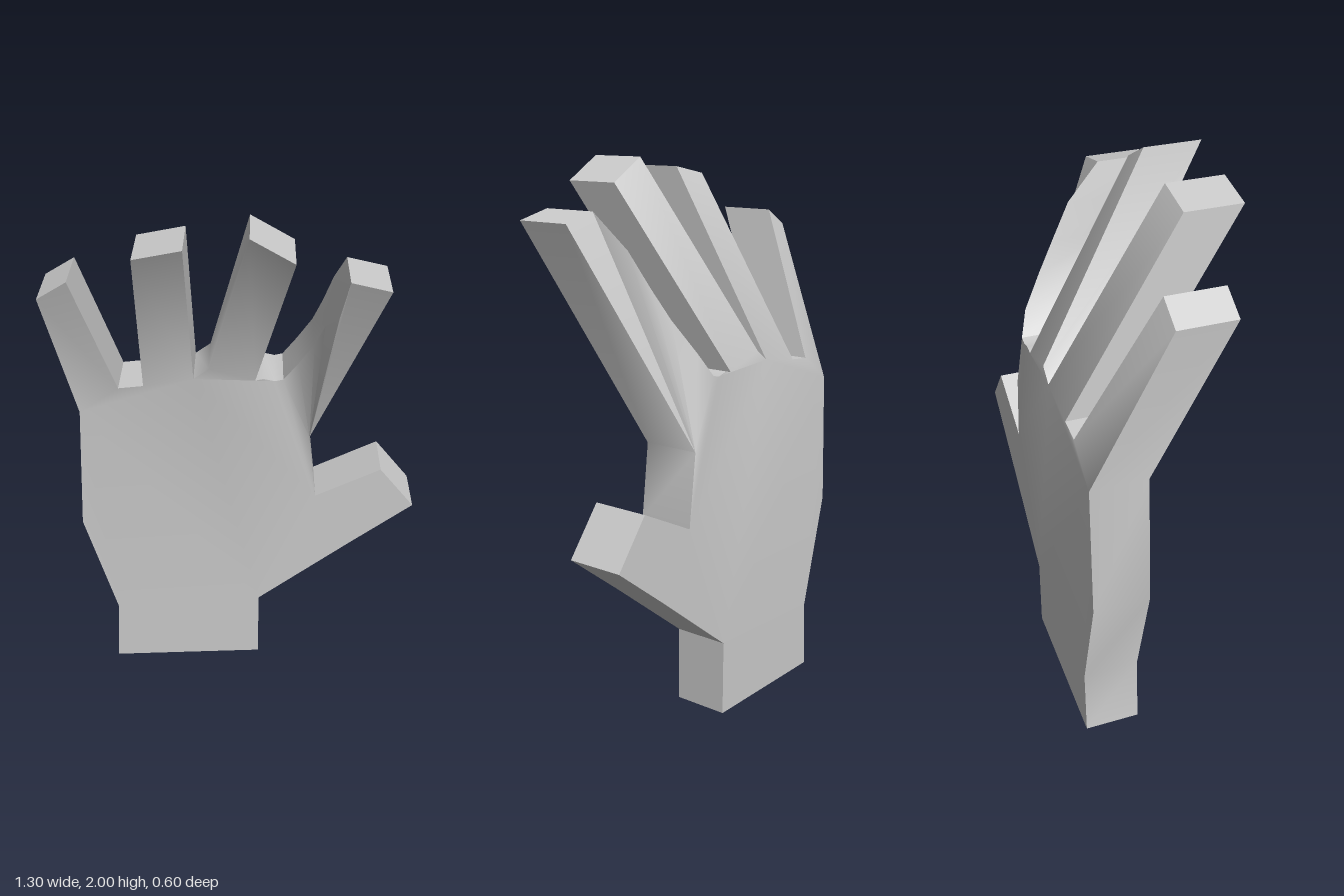
import * as THREE from 'three';
import { toCreasedNormals } from 'three/addons/utils/BufferGeometryUtils.js';

const FRONT = -0.1, BACK = -0.3;

// Outline runs: each point is [x, y, forward bend of front, forward bend of back (if different)].
// Runs marked as fingers start and end on the knuckle line.
const runs = [
  { part: 'wristAndThumb', pts: [[-0.51, 0], [0.07, 0.03], [0.07, 0.31], [0.42, 0.59], [0.65, 0.77], [0.52, 0.93], [0.28, 0.81]] },
  {
    part: 'indexFinger', finger: true, pts: [
      [0.25, 1.07], [0.47, 1.81, 0.35], [0.34, 1.84, 0.35], [0.31, 1.72, 0.35, 0.23],
      [0.28, 1.6, 0.16], [0.25, 1.5, 0.1], [0.2, 1.39, 0.03], [0.15, 1.31]]
  },
  { part: 'webbing', pts: [[0.12, 1.303], [0.08, 1.312]] },
  { part: 'middleFinger', finger: true, pts: [[0.05, 1.305], [0.17, 1.92, 0.4], [0.03, 2, 0.4], [-0.115, 1.35]] },
  { part: 'ringFinger', finger: true, pts: [[-0.17, 1.31], [-0.17, 1.96, 0.395], [-0.325, 1.93, 0.395], [-0.35, 1.28]] },
  { part: 'littleFinger', finger: true, pts: [[-0.44, 1.27], [-0.55, 1.79, 0.245], [-0.65, 1.73, 0.245], [-0.585, 1.17]] },
  { part: 'outerPalm', pts: [[-0.61, 0.68], [-0.495, 0.26]] },
];

function handGeometry() {
  const outline = [], palm = [], faces = [];

  // Fingers are fans from their first knuckle; everything else bounds the flat palm
  for (const { finger, pts } of runs) {
    const start = outline.length, end = start + pts.length - 1;
    outline.push(...pts);
    if (finger) {
      palm.push(start, end);
      for (let i = start + 1; i < end; i++) faces.push([start, i, i + 1]);
    } else {
      for (let i = start; i <= end; i++) palm.push(i);
    }
  }
  const contour = palm.map((i) => new THREE.Vector2(outline[i][0], outline[i][1]));
  for (const t of THREE.ShapeUtils.triangulateShape(contour, [])) faces.push(t.map((k) => palm[k]));

  // Front and back copies of the outline
  const n = outline.length;
  const front = outline.map(([x, y, f = 0]) => [x, y, FRONT + f]);
  const back = outline.map(([x, y, f = 0, b = f]) => [x, y, BACK + b]);

  // Front face, reversed back face, side walls
  const index = [];
  for (const [a, b, c] of faces) index.push(a, b, c, n + a, n + c, n + b);
  for (let a = 0; a < n; a++) {
    const b = (a + 1) % n;
    index.push(a, n + a, n + b, a, n + b, b);
  }

  const geometry = new THREE.BufferGeometry();
  geometry.setAttribute('position', new THREE.Float32BufferAttribute([...front, ...back].flat(), 3));
  geometry.setIndex(index);
  return toCreasedNormals(geometry, 0.75);
}

export function createModel() {
  const group = new THREE.Group();
  group.name = 'openHand';
  const hand = new THREE.Mesh(handGeometry(), new THREE.MeshStandardMaterial({ color: 0xcccccc }));
  hand.name = 'hand';
  group.add(hand);
  return group;
}
